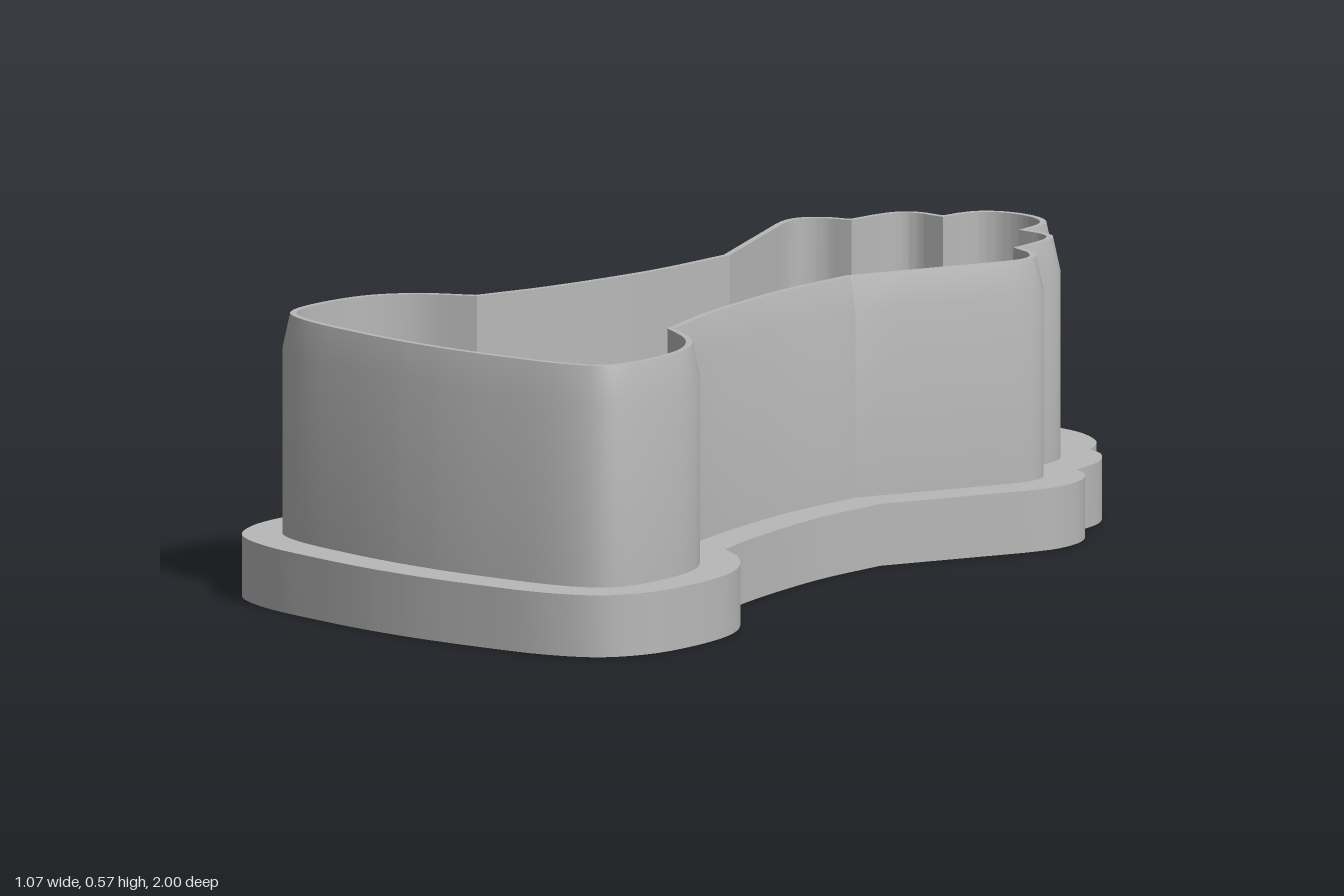
import * as THREE from 'three';
import { toCreasedNormals } from 'three/addons/utils/BufferGeometryUtils.js';

const BASE_H = 0.125, TAPER_Y = 0.5, TOP_Y = 0.57;

// Half outlines as [x, z] runs from back to front; each run is smooth, joints between runs are corners.
const flangeRuns = [
  [[0, -1], [0.035, -0.997], [0.085, -0.985], [0.15, -0.947], [0.185, -0.905], [0.198, -0.873]],
  [[0.198, -0.873], [0.245, -0.853], [0.293, -0.797], [0.313, -0.735], [0.318, -0.697]],
  [[0.318, -0.697], [0.36, -0.675], [0.398, -0.62], [0.41, -0.54], [0.39, -0.465]],
  [[0.39, -0.465], [0.263, -0.172]],
  [[0.263, -0.172], [0.265, 0], [0.283, 0.135], [0.31, 0.27], [0.342, 0.383]],
  [[0.342, 0.383], [0.415, 0.427], [0.485, 0.505], [0.52, 0.585], [0.535, 0.72], [0.523, 0.82],
    [0.475, 0.905], [0.375, 0.957], [0.19, 0.988], [0.06, 0.999], [0, 1]],
];
const wallRuns = [
  [[0, -0.92], [0.03, -0.917], [0.07, -0.903], [0.105, -0.872], [0.12, -0.835], [0.125, -0.8]],
  [[0.125, -0.8], [0.165, -0.798], [0.2, -0.783], [0.224, -0.75], [0.234, -0.71], [0.24, -0.648]],
  [[0.24, -0.648], [0.275, -0.636], [0.307, -0.612], [0.327, -0.58], [0.33, -0.54], [0.317, -0.497]],
  [[0.317, -0.497], [0.183, -0.188]],
  [[0.183, -0.188], [0.185, 0], [0.204, 0.15], [0.233, 0.295], [0.275, 0.435]],
  [[0.275, 0.435], [0.36, 0.485], [0.415, 0.545], [0.445, 0.61], [0.458, 0.72], [0.448, 0.8],
    [0.42, 0.845], [0.35, 0.88], [0.18, 0.909], [0.06, 0.919], [0, 0.92]],
];

// Sample the runs and mirror them into one closed loop
function outline(runs) {
  const half = [];
  runs.forEach((run, r) => {
    const curve = new THREE.CatmullRomCurve3(run.map(([x, z]) => new THREE.Vector3(x, 0, z)));
    const pts = curve.getPoints(run.length === 2 ? 4 : (run.length - 1) * 5);
    pts.slice(r ? 1 : 0).forEach((p) => half.push(new THREE.Vector2(p.x, p.z)));
  });
  const mirrored = half.slice(1, -1).reverse().map((p) => new THREE.Vector2(-p.x, p.y));
  return half.concat(mirrored);
}

// Move a loop inward by d with mitred corners
function inset(loop, d) {
  const n = loop.length;
  return loop.map((p, i) => {
    const a = p.clone().sub(loop[(i + n - 1) % n]).normalize();
    const b = loop[(i + 1) % n].clone().sub(p).normalize();
    const n1 = new THREE.Vector2(-a.y, a.x), n2 = new THREE.Vector2(-b.y, b.x);
    const m = n1.clone().add(n2).normalize();
    return p.clone().addScaledVector(m, d / Math.max(0.5, m.dot(n1)));
  });
}

// Skin between successive loops, each given as [loop, height]
function loft(rings) {
  const pos = [], idx = [], n = rings[0][0].length;
  rings.forEach(([loop, y]) => loop.forEach((p) => pos.push(p.x, y, p.y)));
  for (let r = 0; r < rings.length - 1; r++) {
    for (let i = 0; i < n; i++) {
      const a = r * n + i, b = r * n + (i + 1) % n;
      idx.push(a, a + n, b, b, a + n, b + n);
    }
  }
  const g = new THREE.BufferGeometry();
  g.setAttribute('position', new THREE.Float32BufferAttribute(pos, 3));
  g.setIndex(idx);
  return g;
}

export function createModel() {
  const group = new THREE.Group();
  group.name = 'cookieCutter';
  const grey = new THREE.MeshStandardMaterial({ color: 0xb8b8b8 });
  grey.name = 'grey plastic';

  const wall = outline(wallRuns);
  const inner = inset(wall, 0.028);

  // Wide grip flange at the bottom, open in the middle
  const shape = new THREE.Shape(outline(flangeRuns));
  shape.holes.push(new THREE.Path(inner));
  const flangeGeo = new THREE.ExtrudeGeometry(shape, { depth: BASE_H, bevelEnabled: false });
  flangeGeo.rotateX(Math.PI / 2).translate(0, BASE_H, 0);
  const flange = new THREE.Mesh(toCreasedNormals(flangeGeo, 0.33), grey);
  flange.name = 'gripFlange';
  group.add(flange);

  // Thin cutting wall: outside, tapered edge, flat rim, inside
  const wallGeo = loft([
    [wall, BASE_H], [wall, TAPER_Y], [inset(wall, 0.015), TOP_Y], [inner, TOP_Y], [inner, BASE_H],
  ]);
  const blade = new THREE.Mesh(toCreasedNormals(wallGeo, 0.33), grey);
  blade.name = 'cuttingWall';
  group.add(blade);

  return group;
}
